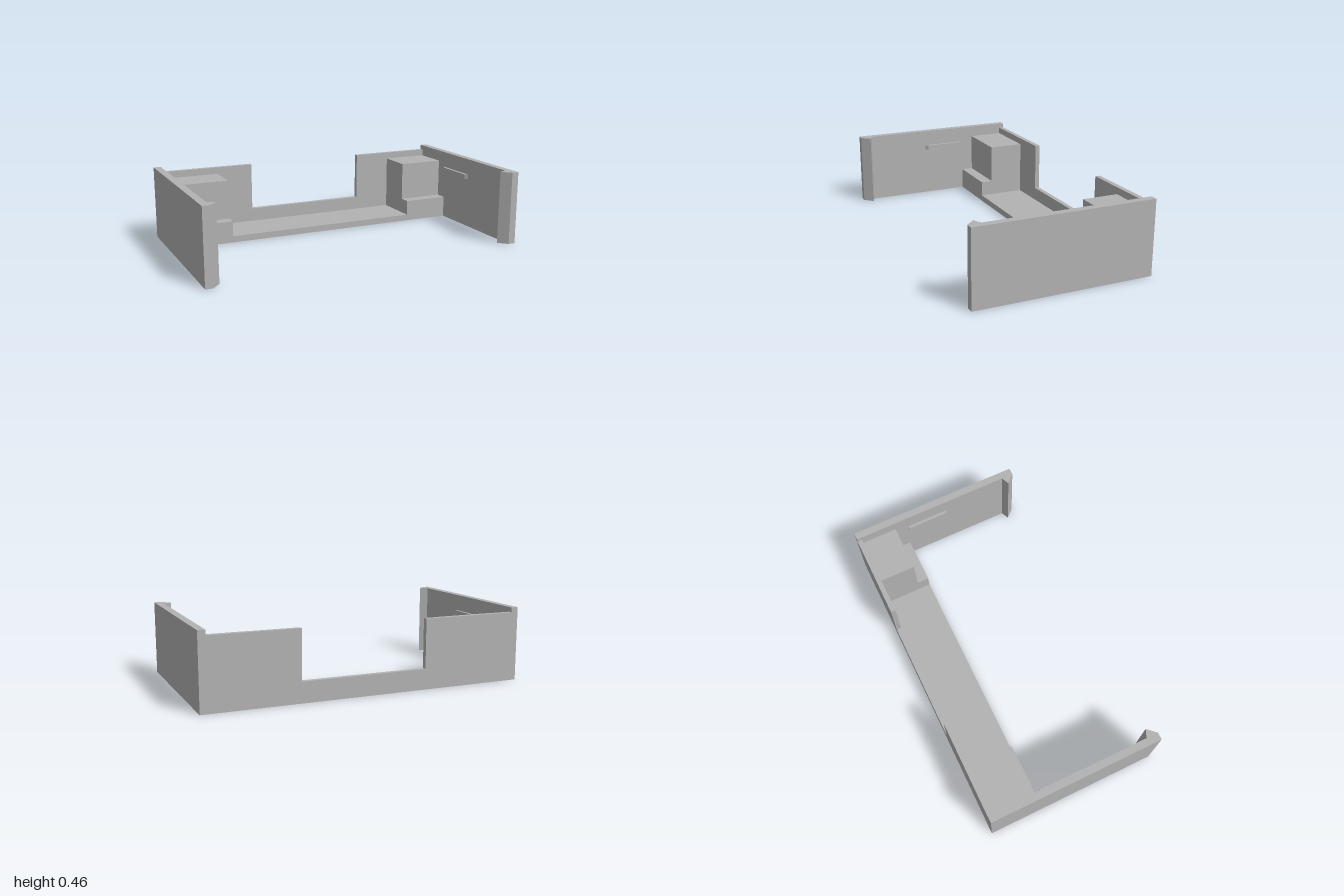
import * as THREE from 'three';

const grey = new THREE.MeshStandardMaterial({ color: 0xb3b3b3 });
grey.name = 'grey';

const SIDE_H = 0.455, INNER = 0.955, BACK = -0.545, BACK_IN = -0.515, FRONT = -0.215, FLOOR = 0.04;

function extrude(points, depth) {
  const shape = new THREE.Shape(points.map(([a, b]) => new THREE.Vector2(a, b)));
  return new THREE.ExtrudeGeometry(shape, { depth, bevelEnabled: false });
}

// Plan outline in (x, z), raised from y0 to y1
function upright(points, y0, y1) {
  return extrude(points, y1 - y0).rotateX(Math.PI / 2).translate(0, y1, 0);
}

export function createModel() {
  const model = new THREE.Group();
  const add = (name, geometry) => {
    const mesh = new THREE.Mesh(geometry, grey);
    mesh.name = name;
    model.add(mesh);
  };

  // Side arms with a hooked front end, and a small rib on the inside
  for (const [side, s] of [['left', 1], ['right', -1]]) {
    add(side + 'Arm', upright([
      [s, BACK], [s, 0.545], [s * INNER, 0.545], [s * 0.905, 0.492],
      [s * INNER, 0.47], [s * INNER, BACK],
    ], 0, SIDE_H));
    add(side + 'Rib', upright([
      [s * INNER, -0.205], [s * 0.938, -0.205], [s * 0.938, 0.055], [s * INNER, 0.072],
    ], 0.322, 0.352));
  }

  // Back wall with a wide notch
  add('backWall', extrude([
    [-INNER, 0], [INNER, 0], [INNER, 0.425], [0.42, 0.425],
    [0.42, 0.125], [-0.36, 0.125], [-0.36, 0.425], [-INNER, 0.425],
  ], BACK_IN - BACK).translate(0, 0, BACK));

  // Floor
  add('floor', new THREE.BoxGeometry(INNER * 2, FLOOR, FRONT - BACK_IN)
    .translate(0, FLOOR / 2, (FRONT + BACK_IN) / 2));

  // Stepped corner blocks, profile in (-z, y)
  for (const [name, x0, x1] of [['leftBlock', 0.66, INNER], ['rightBlock', -INNER, -0.595]]) {
    add(name, extrude([
      [-FRONT, FLOOR], [-BACK_IN, FLOOR], [-BACK_IN, 0.383],
      [0.29, 0.383], [0.29, 0.137], [-FRONT, 0.137],
    ], x1 - x0).rotateY(Math.PI / 2).translate(x0, 0, 0));
  }
  return model;
}
